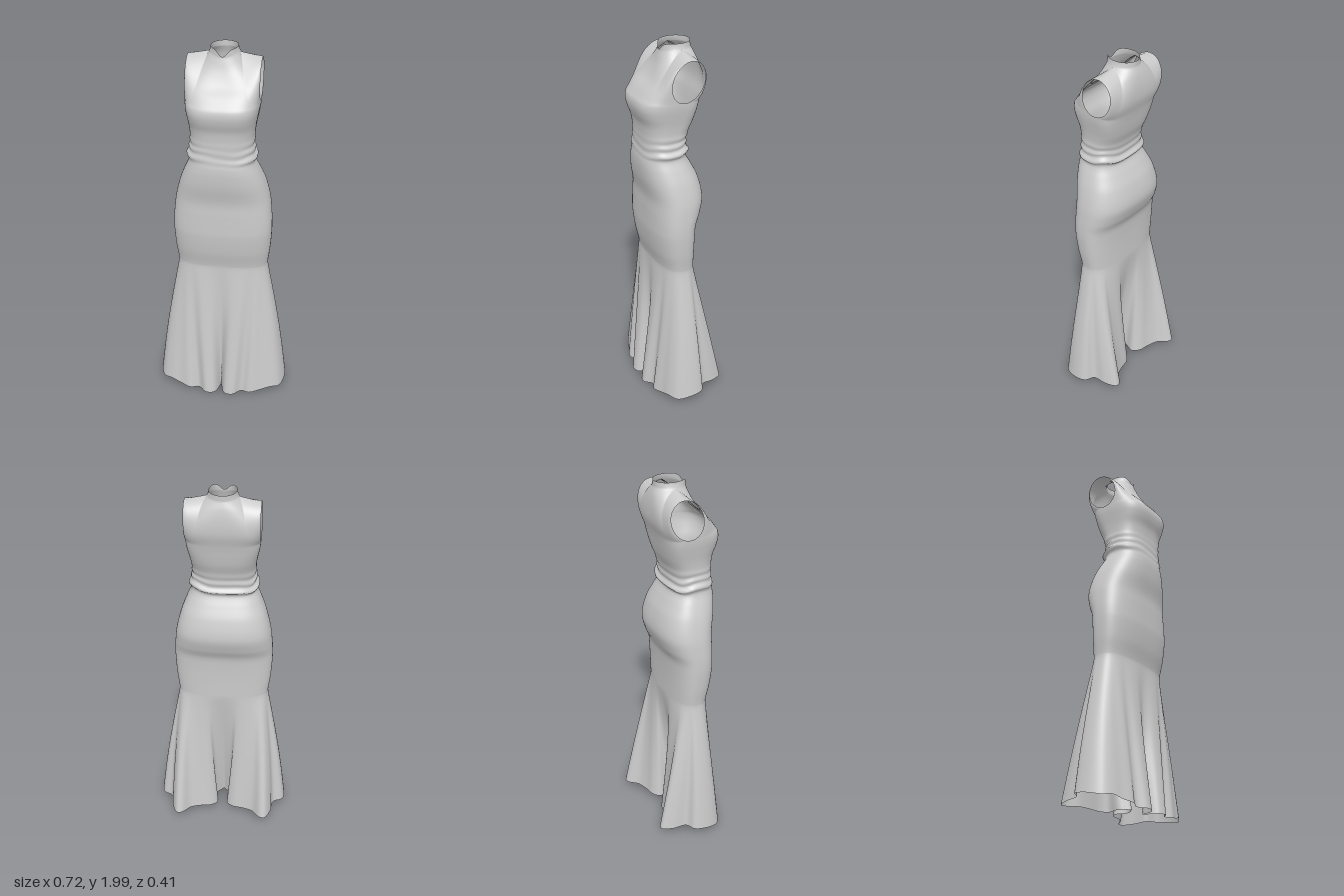
import * as THREE from 'three';
import { mergeGeometries, mergeVertices } from 'three/addons/utils/BufferGeometryUtils.js';

const V = (x, y, z) => new THREE.Vector3(x, y, z);
const HALF = Math.PI / 2;
const KNEE = 0.8, CHEST = 1.735;   // where the flare starts, where the armholes start
const SEG = 24;                    // columns per quarter turn

// Body profile: height, half width, front z, back z, side-seam z
const PROFILE = [
  [0.70, 0.244, 0.117, -0.073, 0.02],
  [0.80, 0.245, 0.120, -0.075, 0.02],
  [0.90, 0.257, 0.142, -0.076, 0.025],
  [1.00, 0.264, 0.155, -0.080, 0.03],
  [1.06, 0.264, 0.156, -0.088, 0.03],
  [1.12, 0.260, 0.156, -0.115, 0.025],
  [1.20, 0.250, 0.157, -0.135, 0.02],
  [1.30, 0.224, 0.177, -0.115, 0.025],
  [1.37, 0.196, 0.184, -0.082, 0.04],
  [1.415, 0.175, 0.183, -0.058, 0.05],
  [1.432, 0.172, 0.180, -0.056, 0.05],
  [1.452, 0.185, 0.180, -0.074, 0.05],
  [1.475, 0.168, 0.175, -0.056, 0.05],
  [1.498, 0.173, 0.177, -0.062, 0.05],
  [1.515, 0.163, 0.175, -0.058, 0.05],
  [1.535, 0.168, 0.176, -0.065, 0.045],
  [1.56, 0.166, 0.176, -0.070, 0.04],
  [1.61, 0.171, 0.182, -0.088, 0.025],
  [1.66, 0.180, 0.199, -0.100, 0.01],
  [1.70, 0.187, 0.206, -0.108, 0.002],
  [1.735, 0.190, 0.199, -0.116, 0],
  [1.78, 0.190, 0.168, -0.128, 0],
];

// Smooth (Hermite) lookup in the profile
function profileAt(y) {
  const P = PROFILE, last = P.length - 1;
  let i = 0;
  while (i < last - 1 && y > P[i + 1][0]) i++;
  const h = P[i + 1][0] - P[i][0], t = (y - P[i][0]) / h;
  const slope = (k, c) => {
    const a = P[Math.max(k - 1, 0)], b = P[Math.min(k + 1, last)];
    return (b[c] - a[c]) / (b[0] - a[0]);
  };
  return [1, 2, 3, 4].map((c) =>
    (2 * t ** 3 - 3 * t * t + 1) * P[i][c] + (t ** 3 - 2 * t * t + t) * h * slope(i, c) +
    (3 * t * t - 2 * t ** 3) * P[i + 1][c] + (t ** 3 - t * t) * h * slope(i + 1, c));
}

// Rounded cross-section, boxier at the chest; angle 0 is centre front, a quarter turn is +x
function ring(a, y) {
  const waist = Math.exp(-(((y - 1.475) / 0.05) ** 2));
  const wave = 0.009 * Math.sin(2 * a + 0.6) + 0.005 * Math.sin(5 * a);
  const [w, front, back, mid] = profileAt(y + waist * wave);
  const n = 2.6 + 0.7 * THREE.MathUtils.smoothstep(y, 1.5, 1.72);
  const pow = (v) => Math.sign(v) * Math.abs(v) ** (2 / n);
  const c = pow(Math.cos(a));
  return V(w * pow(Math.sin(a)), y, mid + c * (c > 0 ? front - mid : mid - back));
}

// Folded hem outline from centre front over the side (SIDE) to centre back
const SIDE = 8;
const hemHalf = [
  [0, 0.006, 0.11], [0.028, 0.006, 0.187], [0.075, 0.008, 0.198], [0.122, 0.012, 0.16],
  [0.17, 0.018, 0.178], [0.23, 0.028, 0.157], [0.285, 0.042, 0.14], [0.335, 0.036, 0.108],
  [0.36, 0.05, 0.035], [0.35, 0.06, -0.04], [0.298, 0.058, -0.068], [0.286, 0.052, -0.14],
  [0.255, 0.048, -0.2], [0.225, 0.048, -0.197], [0.18, 0.048, -0.15], [0.12, 0.045, -0.125],
  [0.06, 0.042, -0.11], [0.026, 0.04, -0.075], [0.042, 0.04, -0.005], [0, 0.04, 0.047],
].map((p) => V(...p));
const hemCurve = new THREE.CatmullRomCurve3(hemHalf);
function hem(a) {
  const b = Math.acos(THREE.MathUtils.clamp(Math.cos(a), -1, 1)) / HALF;
  const last = hemHalf.length - 1;
  const k = b <= 1 ? b * SIDE : SIDE + (b - 1) * (last - SIDE);
  const p = hemCurve.getPoint(Math.min(1, k / last));
  if (Math.sin(a) < 0) p.x *= -1;
  return p;
}

// Flared skirt: the knee ring opens into the folded hem
function skirt(a, v) {
  const p = ring(a, KNEE), low = hem(a), t = 1 - v;
  const y = THREE.MathUtils.lerp(p.y, low.y, t);
  p.lerp(low, (1.015 * t * t) / (t + 0.015));
  p.x *= 1 + 0.03 * Math.sin(Math.PI * t);
  p.y = y;
  return p;
}

// Upper bodice borders: centre lines, armhole edge, neck and shoulder line
const centreFront = new THREE.CatmullRomCurve3([ring(0, CHEST), V(0, 1.785, 0.16),
  V(0, 1.83, 0.115), V(0, 1.89, 0.08), V(0, 1.957, 0.056)]);
const centreBack = new THREE.CatmullRomCurve3([ring(Math.PI, CHEST), V(0, 1.8, -0.133),
  V(0, 1.87, -0.134), V(0, 1.93, -0.124), V(0, 1.97, -0.11)]);
function armhole(v, s) {
  const c = Math.cos(Math.PI * v);
  return V(0.19, 1.84 - 0.105 * c, -0.018 + 0.018 * c + s * 0.088 * Math.sin(Math.PI * v));
}
function neck(b, s) {
  const end = s > 0 ? centreFront.points[4] : centreBack.points[4];
  const k = Math.cos(b);
  return V(0.078 * Math.sin(b), 1.97 + (end.y - 1.97) * k ** 4, -0.03 + (end.z + 0.03) * k);
}
const topEdge = (u, s) => u <= 0.5
  ? neck(u * Math.PI, s) : neck(HALF, s).lerp(armhole(1, s), u * 2 - 1);

// Panel from centre line to armhole, bulged to meet the chest ring and the top edge;
// s = 1 front, -1 back
function bodice(a, v, s) {
  const u = Math.min(1, Math.acos(THREE.MathUtils.clamp(s * Math.cos(a), -1, 1)) / HALF);
  const centre = s > 0 ? centreFront : centreBack;
  const span = (t) => {
    const c = centre.getPoint(t), e = armhole(t, s), k = u ** 1.6;
    return V(e.x * u, c.y + (e.y - c.y) * k, c.z + (e.z - c.z) * k);
  };
  const p = span(v);
  const chest = ring(s > 0 ? u * HALF : Math.PI - u * HALF, CHEST);
  p.addScaledVector(chest.sub(span(0)), 1 - v);
  p.addScaledVector(topEdge(u, s).sub(span(1)), v ** 2.5);
  if (Math.sin(a) < 0) p.x *= -1;
  return p;
}

// Stand collar with a small notch at centre front
function collar(a, v) {
  const s = Math.cos(a) >= 0 ? 1 : -1;
  const b = Math.acos(Math.min(1, Math.abs(Math.cos(a))));
  const p = neck(b, s);
  const notch = s > 0 ? 0.036 * Math.exp(-((b / 0.42) ** 2)) : 0;
  p.x *= (Math.sin(a) < 0 ? -1 : 1) * (1 - 0.1 * Math.sin(v * HALF));
  p.y += (2 - notch - p.y) * v;
  return p;
}

// Grid surface from f(angle, v)
function sheet(f, a0, a1, cols, rows) {
  const pos = [], index = [];
  for (let j = 0; j <= rows; j++)
    for (let i = 0; i <= cols; i++)
      pos.push(...f(a0 + ((a1 - a0) * i) / cols, j / rows).toArray());
  for (let j = 0; j < rows; j++)
    for (let i = 0; i < cols; i++) {
      const a = j * (cols + 1) + i, d = a + cols + 1;
      index.push(a, a + 1, d + 1, a, d + 1, d);
    }
  const g = new THREE.BufferGeometry();
  g.setAttribute('position', new THREE.Float32BufferAttribute(pos, 3));
  g.setIndex(index);
  return g;
}

export function createModel() {
  const full = 2 * Math.PI;
  const parts = [
    sheet(skirt, 0, full, SEG * 8, 40),
    sheet((a, v) => ring(a, KNEE + (CHEST - KNEE) * v), 0, full, SEG * 8, 110),
    sheet((a, v) => bodice(a, v, 1), -HALF, HALF, SEG * 4, 28),
    sheet((a, v) => bodice(a, v, -1), HALF, 3 * HALF, SEG * 4, 28),
    sheet(collar, 0, full, SEG * 4, 6),
  ];
  // Weld the panels so that shading runs smoothly across the seams
  const geometry = mergeVertices(mergeGeometries(parts), 1e-4);
  geometry.computeVertexNormals();
  const dress = new THREE.Mesh(geometry,
    new THREE.MeshStandardMaterial({ color: 0xcccccc, side: THREE.DoubleSide }));
  dress.name = 'dress';
  const group = new THREE.Group();
  group.name = 'gown';
  group.add(dress);
  return group;
}
